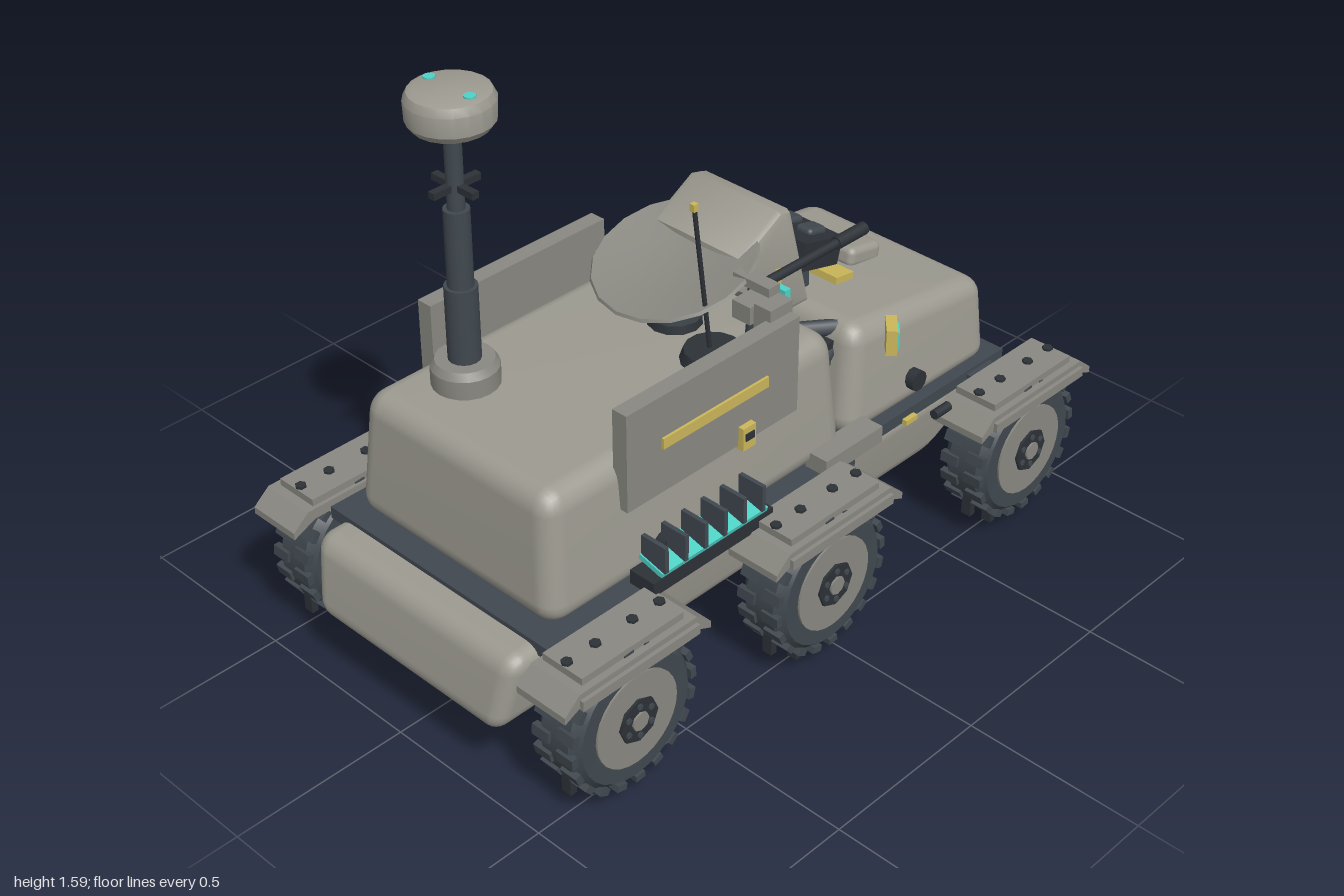
import * as THREE from 'three';
import { mergeVertices, toCreasedNormals } from 'three/addons/utils/BufferGeometryUtils.js';
import { RoundedBoxGeometry } from 'three/addons/geometries/RoundedBoxGeometry.js';

const paint = (name, color, side = THREE.FrontSide) => {
  const m = new THREE.MeshStandardMaterial({ color, side });
  m.name = name;
  return m;
};

export function createModel() {
  const hullGrey = paint('hull grey', 0x9c9a90);
  const plateGrey = paint('plate grey', 0x898881);
  const dark = paint('dark slate', 0x40484f);
  const black = paint('near black', 0x2d3238);
  const yellow = paint('marker yellow', 0xcbb75a);
  const teal = paint('lens teal', 0x4fd1c5);

  const model = new THREE.Group();
  model.name = 'sixWheeledRover';
  const rover = new THREE.Group();
  rover.name = 'rover';
  rover.position.x = 0.025;
  model.add(rover);

  const add = (name, geo, mat, p, r = [0, 0, 0], parent = rover) => {
    const mesh = new THREE.Mesh(geo, mat);
    mesh.name = name;
    mesh.position.set(...p);
    mesh.rotation.set(...r);
    parent.add(mesh);
    return mesh;
  };
  const box = (w, h, d) => new THREE.BoxGeometry(w, h, d);
  const cyl = (r0, r1, h, n = 16) => new THREE.CylinderGeometry(r0, r1, h, n);
  const disc = (r, h, n = 16) => cyl(r, r, h, n).rotateZ(Math.PI / 2); // axis along x
  const lathe = (pts, n) => toCreasedNormals(
    new THREE.LatheGeometry(pts.map(p => new THREE.Vector2(...p)), n), 0.5);
  // Rounded box whose vertices are moved by a rule
  const shaped = (w, h, d, r, rule) => {
    let g = new RoundedBoxGeometry(w, h, d, 3, r);
    const pos = g.attributes.position, v = new THREE.Vector3();
    for (let i = 0; i < pos.count; i++) {
      rule(v.fromBufferAttribute(pos, i), v.y / h + 0.5, v.z / d + 0.5);
      pos.setXYZ(i, v.x, v.y, v.z);
    }
    g.deleteAttribute('normal');
    g.deleteAttribute('uv');
    g = mergeVertices(g, 1e-5);
    g.computeVertexNormals();
    return g;
  };
  // Side profile given as (z, y), swept across x
  const sweep = (pts, width, bevel = 0) => {
    const g = new THREE.ExtrudeGeometry(new THREE.Shape(pts.map(p => new THREE.Vector2(...p))), {
      depth: width - 2 * bevel, bevelEnabled: bevel > 0, bevelSize: bevel, bevelOffset: -bevel,
      bevelThickness: bevel, bevelSegments: 2 });
    return toCreasedNormals(g.translate(0, 0, bevel - width / 2).rotateY(-Math.PI / 2), 0.6);
  };
  const rod = (name, a, b, r, mat, n = 10) => {
    const A = new THREE.Vector3(...a), B = new THREE.Vector3(...b), dir = B.clone().sub(A);
    const m = add(name, cyl(r, r, dir.length(), n), mat, A.clone().add(B).multiplyScalar(0.5).toArray());
    m.quaternion.setFromUnitVectors(new THREE.Vector3(0, 1, 0), dir.normalize());
  };

  // Lower hull: raked nose, rising tail
  add('lowerHull', shaped(0.74, 0.22, 1.9, 0.05, (v, t, f) => {
    v.x *= 0.9 + 0.1 * t;
    const back = -0.58 - 0.33 * t, front = 1.0 - 0.04 * t;
    v.z = back + (front - back) * f;
  }), hullGrey, [0, 0.31, 0]);
  for (const z of [0.65, 0]) add('bellyHatch', box(0.1, 0.04, 0.1), black, [0, 0.19, z]);

  // Deck band
  add('frontDeck', box(0.8, 0.035, 1.08), dark, [0, 0.415, 0.335]);
  add('rearDeck', box(0.73, 0.035, 0.68), dark, [0, 0.415, -0.53]);

  // Upper bodies
  add('frontBody', shaped(0.72, 0.36, 1.05, 0.06, (v, t, f) => {
    v.x *= 1 - 0.09 * t;
    v.z *= 1 - 0.05 * t;
  }), hullGrey, [0, 0.605, 0.305]);
  add('rearBody', shaped(0.69, 0.32, 0.6, 0.06, (v, t, f) => {
    v.x *= 1 - 0.1 * t;
    v.z -= 0.05 * t * f;
    v.y -= 0.08 * t * (1 - f);
  }), hullGrey, [0, 0.575, -0.54]);
  add('bodyJoint', box(0.5, 0.24, 0.16), black, [0, 0.56, -0.22]);
  add('rearHatch', new RoundedBoxGeometry(0.11, 0.06, 0.13, 2, 0.02), hullGrey, [0, 0.7, -0.64], [-0.2, 0, 0]);
  add('rearStripe', box(0.26, 0.02, 0.07), yellow, [0, 0.74, -0.46], [-0.15, 0, 0]);

  // Wheels with arched guards
  const tyreGeo = lathe([[0, -0.06], [0.14, -0.07], [0.175, -0.07], [0.198, -0.045], [0.198, 0.045],
    [0.175, 0.07], [0.14, 0.07], [0, 0.06]], 28).rotateZ(-Math.PI / 2);
  const guardGeo = sweep([[-0.238, 0.385], [-0.238, 0.405], [-0.19, 0.445], [0.19, 0.445], [0.238, 0.405],
    [0.238, 0.385], [0.17, 0.415], [-0.17, 0.415]], 0.16);
  for (const s of [-1, 1]) for (const z of [0.75, 0.05, -0.757]) {
    const wheel = new THREE.Group();
    wheel.name = 'wheel';
    wheel.position.set(s * 0.483, 0.245, z);
    rover.add(wheel);
    add('tyre', tyreGeo, dark, [0, 0, 0], [0, 0, 0], wheel);
    for (let i = 0; i < 20; i++) {
      const a = i / 20 * Math.PI * 2;
      for (const e of [-1, 1])
        add('tread', box(0.055, 0.018, 0.03), dark,
          [e * 0.04, 0.197 * Math.cos(a + e * 0.08), 0.197 * Math.sin(a + e * 0.08)], [a + e * 0.08, 0, 0], wheel);
    }
    for (const dz of [-0.155, -0.058, 0.058, 0.155])
      add('groundSpike', box(0.03, 0.065, 0.02), black, [0, Math.abs(dz) > 0.1 ? -0.138 : -0.2125, dz], [0, 0, 0], wheel);
    add('wheelDisc', disc(0.132, 0.15, 28), plateGrey, [0, 0, 0], [0, 0, 0], wheel);
    add('hubRing', disc(0.062, 0.164, 8), black, [0, 0, 0], [0, 0, 0], wheel);
    for (let i = 0; i < 6; i++)
      add('hubBolt', disc(0.009, 0.172, 6), dark, [0, 0.043 * Math.cos(i * 1.047), 0.043 * Math.sin(i * 1.047)], [0, 0, 0], wheel);
    add('hubCap', disc(0.026, 0.176, 8), plateGrey, [0, 0, 0], [0, 0, 0], wheel);

    const gz = z === 0.05 ? 0.042 : z > 0 ? 0.75 : -0.762;
    add('wheelGuard', guardGeo, plateGrey, [s * 0.487, 0, gz]);
    add('guardPlate', box(0.13, 0.02, 0.33), plateGrey, [s * 0.483, 0.455, gz]);
    add('guardRail', box(0.02, 0.028, 0.38), plateGrey, [s * 0.568, 0.415, gz]);
    add('guardMount', box(0.09, 0.035, 0.1), dark, [s * 0.375, 0.405, gz]);
    for (const d of [-0.15, -0.06, 0.06, 0.15])
      add('guardBolt', cyl(0.015, 0.015, 0.012, 6), black, [s * 0.483, 0.466, gz + d]);
    rod('halfAxle', [s * 0.2, 0.245, z], [s * 0.44, 0.245, z], 0.026, black);
  }

  // Rear axle casing and cross bars
  add('rearAxle', disc(0.034, 0.86), black, [0, 0.245, -0.757]);
  add('differential', new THREE.SphereGeometry(0.065, 12, 8), dark, [0, 0.245, -0.757]);
  for (const z of [-0.68, -0.82]) add('rearCrossBar', disc(0.02, 0.8, 10), black, [0, 0.335, z]);

  for (const s of [-1, 1]) {
    // Suspension arms and side shoulders
    add('swingArm', box(0.035, 0.05, 0.27), yellow, [s * 0.395, 0.3, 0.03], [0.15, 0, 0]);
    add('deckShoulder', box(0.07, 0.05, 0.22), plateGrey, [s * 0.375, 0.455, -0.19]);

    // Armour side panels
    add('sidePanel', box(0.046, 0.275, 0.595), plateGrey, [s * 0.34, 0.79, 0.285]);
    add('panelStripe', box(0.008, 0.03, 0.365), yellow, [s * 0.366, 0.795, 0.285]);
    add('markerLamp', box(0.03, 0.065, 0.045), yellow, [s * 0.365, 0.675, 0.18]);
    add('markerLampCap', box(0.034, 0.02, 0.03), black, [s * 0.367, 0.68, 0.18]);

    // Cooling bank
    add('coolerBase', box(0.08, 0.04, 0.42), black, [s * 0.4, 0.46, 0.365]);
    add('coolerPanel', box(0.08, 0.015, 0.37), teal, [s * 0.4, 0.495, 0.36], [0, 0, -s * 0.25]);
    for (let i = 0; i < 6; i++)
      add('coolerFin', box(0.08, 0.075, 0.012), dark, [s * 0.405, 0.53, 0.535 - i * 0.068]);
    add('sidePort', disc(0.03, 0.03, 10), black, [s * 0.345, 0.495, -0.51]);
    add('sidePort', disc(0.03, 0.03, 10), black, [s * 0.37, 0.5, 0.46]);

    // Corner lamps on the rear body
    const lamp = new THREE.Group();
    lamp.name = 'cornerLamp';
    lamp.position.set(s * 0.335, 0.675, -0.41);
    lamp.rotation.y = s * 0.75;
    rover.add(lamp);
    add('lampFrame', box(0.03, 0.075, 0.08), yellow, [0, 0, 0], [0, 0, 0], lamp);
    add('lampLens', box(0.008, 0.05, 0.055), teal, [s * 0.017, 0, 0], [0, 0, 0], lamp);
    add('deckMarker', box(0.015, 0.015, 0.045), yellow, [s * 0.405, 0.44, -0.42]);
    rod('rearHook', [s * 0.43, 0.43, -0.55], [s * 0.43, 0.43, -0.49], 0.014, black);
    rod('jointLink', [s * 0.16, 0.7, -0.22], [s * 0.25, 0.7, -0.34], 0.022, dark);
    rod('jointLink', [s * 0.26, 0.62, -0.18], [s * 0.22, 0.66, -0.33], 0.022, dark);
    add('deckLight', box(0.04, 0.03, 0.04), yellow, [s * 0.26, 0.795, -0.078], [0, s * 0.5, 0]);
    add('deckLightBase', box(0.05, 0.03, 0.05), black, [s * 0.22, 0.79, -0.075], [0, s * 0.5, 0]);
    add('turretStripe', box(0.008, 0.14, 0.03), yellow, [s * 0.16, 0.845, -0.145], [-0.28, 0, 0]);
  }

  // Turret housing and rear lamp bank
  add('turret', sweep([[-0.02, 0.9], [-0.03, 0.99], [-0.17, 1.07], [-0.21, 1.06], [-0.29, 0.76], [-0.17, 0.76]],
    0.32, 0.02), hullGrey, [0, 0, 0]);
  const bank = new THREE.Group();
  bank.name = 'lampBank';
  bank.position.set(0, 0.87, -0.345);
  bank.rotation.x = -0.25;
  rover.add(bank);
  add('lampBankBody', box(0.29, 0.08, 0.15), black, [0, 0, 0], [0, 0, 0], bank);
  for (const x of [-0.08, 0, 0.08])
    add('lampBankCell', new RoundedBoxGeometry(0.055, 0.03, 0.07, 2, 0.012), dark, [x, 0.04, -0.02], [0, 0, 0], bank);
  add('lampBankBracket', box(0.2, 0.09, 0.1), dark, [0, 0.8, -0.3]);

  // Tilted dish on its pedestal
  add('dishPedestal', cyl(0.05, 0.075, 0.13, 12), black, [0, 0.84, 0.05]);
  add('dishCollar', cyl(0.075, 0.075, 0.035, 12), dark, [0, 0.83, 0.05]);
  add('dish', lathe([[0, -0.045], [0.11, -0.035], [0.22, 0], [0.215, 0.008], [0.11, -0.012], [0, -0.02]], 18),
    plateGrey, [0, 0.965, 0.05], [0.32, 0, 0]);

  // Sensor mast
  const mx = -0.175, mz = 0.6;
  add('mastBase', lathe([[0, 0], [0.087, 0], [0.087, 0.05], [0.075, 0.07], [0, 0.07]], 20), plateGrey, [mx, 0.785, mz]);
  for (const [r, y0, y1] of [[0.042, 0.85, 1.06], [0.033, 1.06, 1.27], [0.022, 1.27, 1.475]])
    add('mastSection', cyl(r, r, y1 - y0, 16), dark, [mx, (y0 + y1) / 2, mz]);
  add('mastCrossBar', box(0.145, 0.018, 0.02), black, [mx, 1.33, mz]);
  add('mastCrossBar', box(0.02, 0.018, 0.145), black, [mx, 1.33, mz]);
  add('mastHead', lathe([[0, 0], [0.095, 0], [0.108, 0.018], [0.11, 0.07], [0.1, 0.09], [0.085, 0.096], [0, 0.096]], 20),
    hullGrey, [mx, 1.489, mz]);
  for (const d of [-0.07, 0.07]) add('headLens', cyl(0.015, 0.015, 0.008, 12), teal, [mx + d, 1.585, mz]);

  // Whip antenna
  add('antennaBase', cyl(0.075, 0.085, 0.03, 14), black, [0.19, 0.8, 0.11]);
  rod('antenna', [0.18, 0.8, 0.11], [0.18, 1.23, 0.168], 0.006, black, 8);
  add('antennaTip', box(0.015, 0.02, 0.015), yellow, [0.18, 1.235, 0.169]);

  // Barrel and its mount
  rod('barrel', [0.195, 0.925, -0.02], [0.195, 0.925, -0.42], 0.013, black);
  rod('barrelMuzzle', [0.195, 0.925, -0.34], [0.195, 0.925, -0.45], 0.018, black);
  add('barrelMount', box(0.06, 0.05, 0.11), plateGrey, [0.24, 0.92, 0.01]);
  add('barrelMagazine', box(0.055, 0.13, 0.08), plateGrey, [0.305, 0.895, 0.02]);
  add('barrelArm', box(0.12, 0.025, 0.04), plateGrey, [0.23, 0.975, 0]);
  add('barrelSight', box(0.04, 0.05, 0.02), teal, [0.27, 0.93, -0.05]);
  add('barrelStand', cyl(0.03, 0.04, 0.13, 10), dark, [0.25, 0.84, 0.01]);

  // Sensor box on the right shoulder
  add('sensorBox', box(0.09, 0.09, 0.14), plateGrey, [-0.26, 0.83, -0.02], [0, 0.35, 0]);
  add('sensorLens', box(0.06, 0.05, 0.008), teal, [-0.286, 0.83, -0.09], [0, 0.35, 0]);

  // Folded tool arms on the right side
  const arm = (x, y, z0, z1) => {
    add('toolArm', box(0.035, 0.025, z1 - z0), black, [x, y, (z0 + z1) / 2]);
    for (const z of [z0, z1]) add('armJoint', box(0.07, 0.032, 0.045), dark, [x, y, z]);
  };
  arm(-0.47, 0.655, -0.12, 0.26);
  add('armBracket', box(0.12, 0.02, 0.04), dark, [-0.41, 0.66, 0.1]);
  arm(-0.59, 0.38, -0.23, 0.17);
  add('toolGrip', box(0.015, 0.09, 0.02), black, [-0.58, 0.335, -0.2]);

  return model;
}
